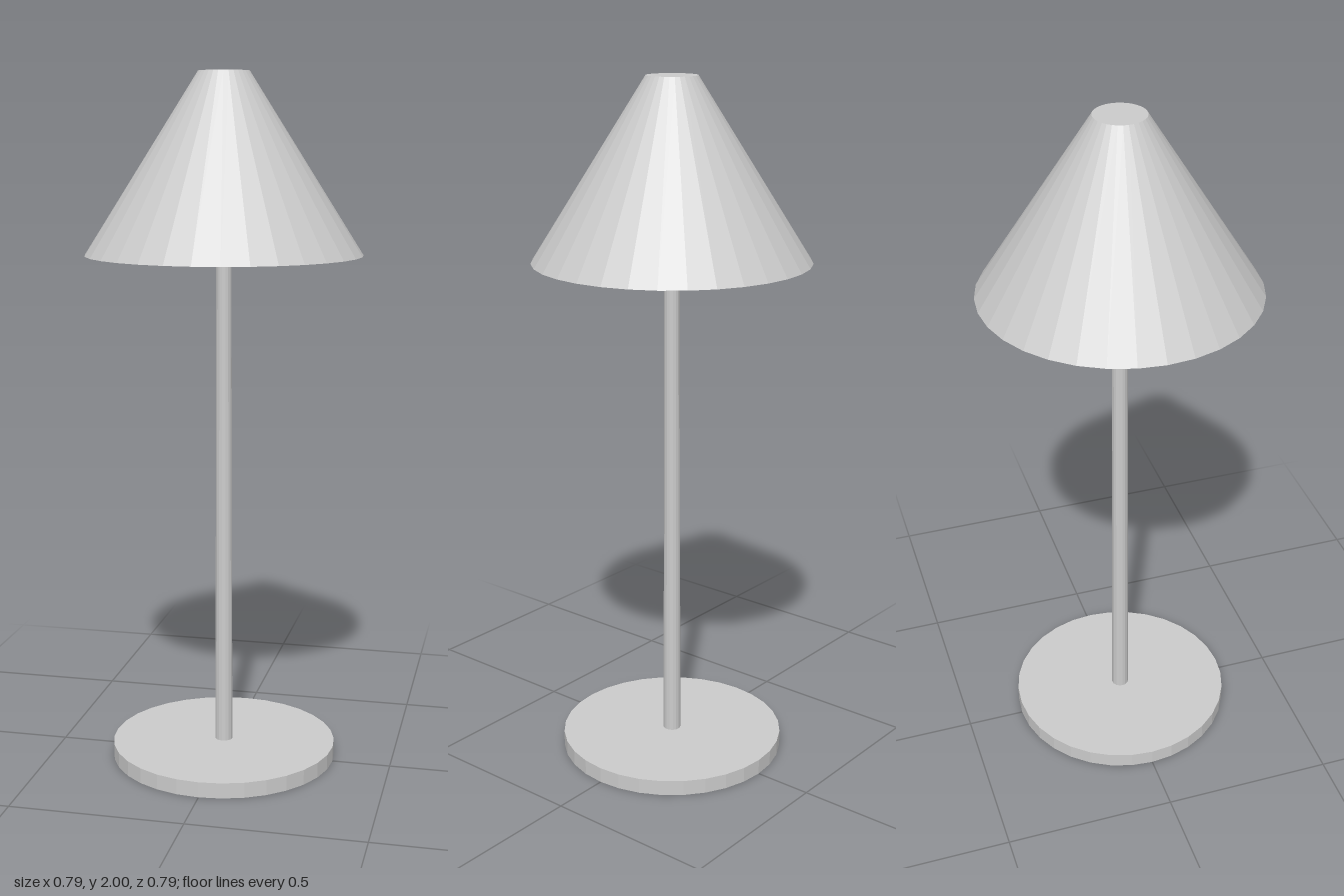
import * as THREE from 'three';

const material = new THREE.MeshStandardMaterial({ color: 0xcccccc, flatShading: true });

// Closed, optionally tapered round part spanning y0 to y1
function roundPart(name, topRadius, bottomRadius, y0, y1, sides) {
  const geometry = new THREE.CylinderGeometry(topRadius, bottomRadius, y1 - y0, sides);
  const mesh = new THREE.Mesh(geometry, material);
  mesh.name = name;
  mesh.position.y = (y0 + y1) / 2;
  return mesh;
}

export function createModel() {
  const lamp = new THREE.Group();
  lamp.name = 'tableLamp';
  lamp.add(
    roundPart('base', 0.33, 0.33, 0, 0.045, 32),
    // Slender stem, a touch thicker at the foot
    roundPart('stem', 0.022, 0.026, 0.045, 1.492, 16),
    // Conical shade, closed at both ends
    roundPart('shade', 0.072, 0.394, 1.492, 2, 32),
  );
  return lamp;
}
